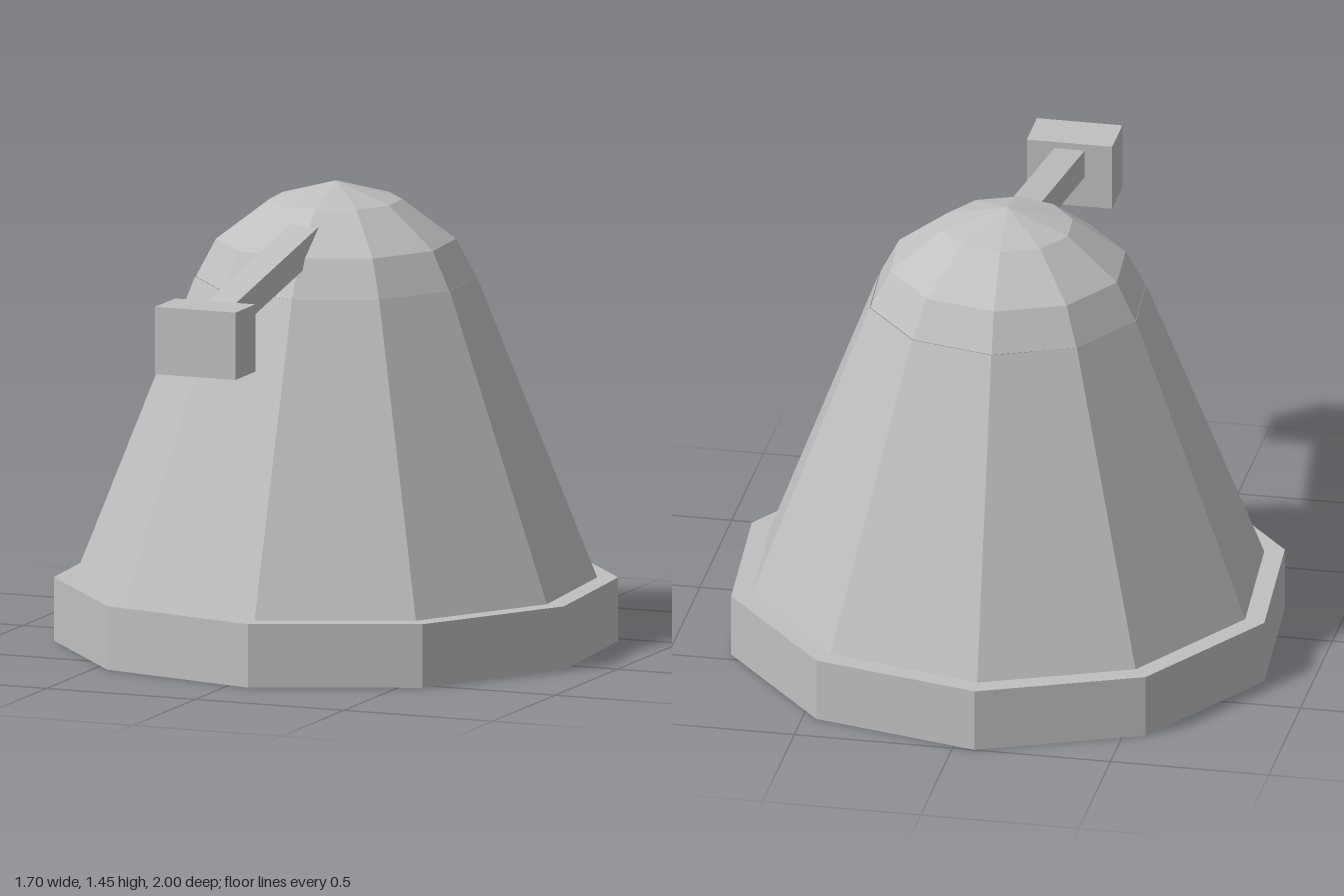
import * as THREE from 'three';

const SIDES = 10;
const TURN = 0.08; // slight rotation shared by all ten-sided parts
const CENTRE_Z = -0.127;

export function createModel() {
  const model = new THREE.Group();
  model.name = 'domedTurret';

  // Double-sided, as the shells are open underneath
  const grey = new THREE.MeshStandardMaterial({
    color: 0xc0c0c0, flatShading: true, side: THREE.DoubleSide,
  });
  grey.name = 'plainGrey';

  const add = (name, geometry, x, y, z) => {
    const mesh = new THREE.Mesh(geometry, grey);
    mesh.name = name;
    mesh.position.set(x, y, z);
    model.add(mesh);
  };

  // Ten-sided shell from a profile of [radius, height] points, bottom to top
  const shell = (name, profile) => {
    const points = profile.map(([r, y]) => new THREE.Vector2(r, y));
    add(name, new THREE.LatheGeometry(points, SIDES, TURN), 0, 0, CENTRE_Z);
  };

  // Hollow plinth: outer wall and top, open below
  shell('basePlinth', [[0.875, 0], [0.875, 0.2], [0, 0.2]]);
  shell('taperedBody', [[0.81, 0.2], [0.437, 1.147]]);
  shell('domeCap', [[0.435, 1.147], [0.372, 1.266], [0.205, 1.392], [0, 1.45]]);

  // Sloping arm, running from inside the dome to the end block
  const armShape = new THREE.Shape([[0.0, 1.282], [0.845, 1.114], [0.845, 1.205], [0.0, 1.373]]
    .map(([z, y]) => new THREE.Vector2(z, y)));
  const armGeometry = new THREE.ExtrudeGeometry(armShape, { depth: 0.096, bevelEnabled: false });
  armGeometry.translate(0, 0, -0.048).rotateY(-Math.PI / 2);
  add('arm', armGeometry, 0, 0, 0);

  // Hollow block at the end of the arm, without its bottom face
  const block = new THREE.BoxGeometry(0.27, 0.212, 0.16);
  block.setIndex(Array.from(block.index.array).filter((_, i) => i < 18 || i >= 24));
  block.clearGroups();
  add('endBlock', block, 0, 1.121, 0.92);

  return model;
}
